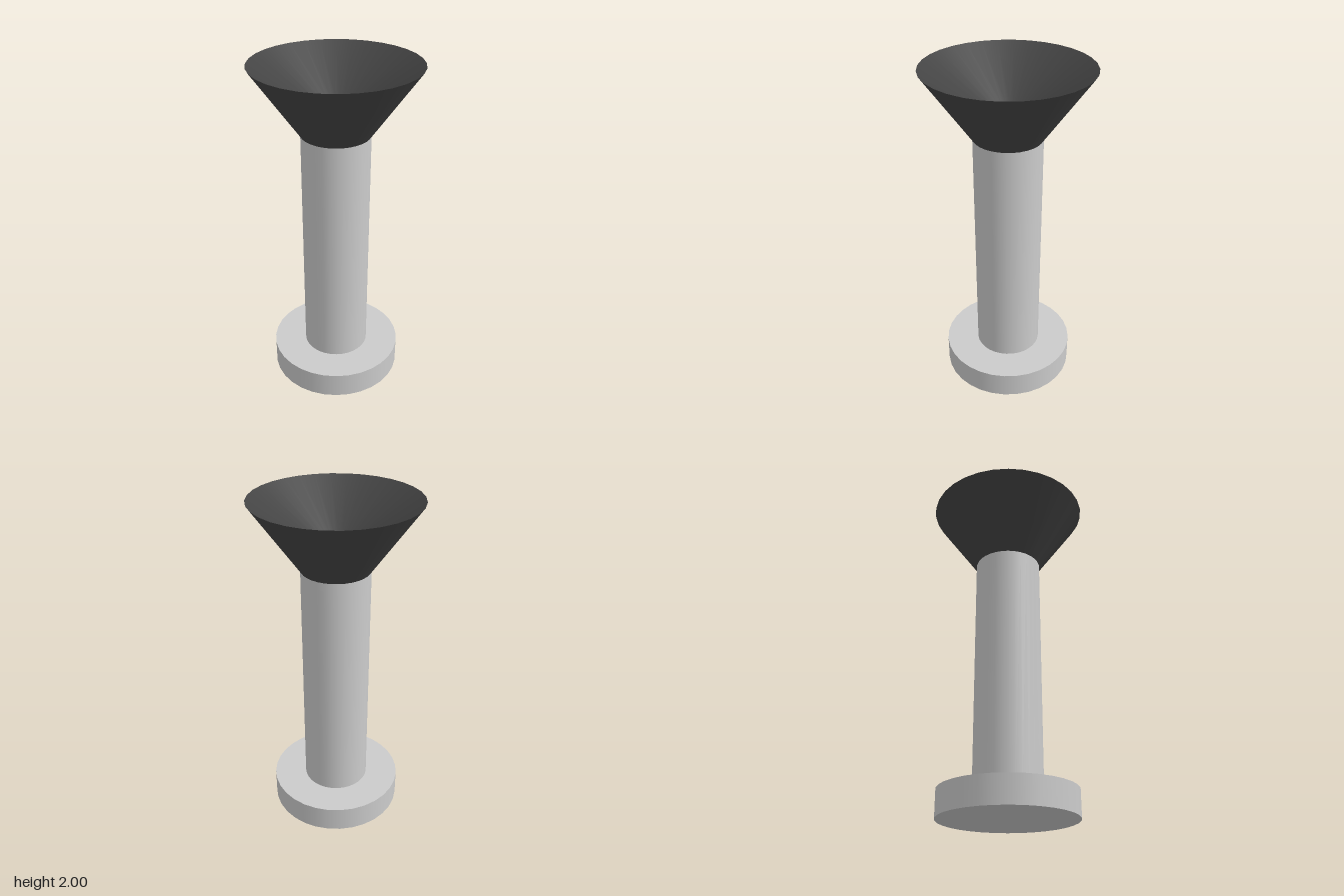
import * as THREE from 'three';

const SEGMENTS = 32;

export function createModel() {
  const model = new THREE.Group();
  const grey = new THREE.MeshStandardMaterial({ color: 0xcccccc });
  const dark = new THREE.MeshStandardMaterial({ color: 0x444444, side: THREE.DoubleSide });

  const add = (name, geometry, material, y = 0) => {
    const mesh = new THREE.Mesh(geometry, material);
    mesh.name = name;
    mesh.position.y = y;
    model.add(mesh);
  };

  // Round foot and column
  add('base', new THREE.CylinderGeometry(0.4, 0.4, 0.16, SEGMENTS), grey, 0.08);
  add('column', new THREE.CylinderGeometry(0.2, 0.2, 1.44, SEGMENTS), grey, 0.88);

  // Flared bowl: outer wall, shallower inner wall and flat floor
  add('bowlOuter', new THREE.CylinderGeometry(0.48, 0.2, 0.4, SEGMENTS, 1, true), dark, 1.8);
  add('bowlInner', new THREE.CylinderGeometry(0.48, 0.124, 0.24, SEGMENTS, 1, true), dark, 1.88);
  const floor = new THREE.CircleGeometry(0.124, SEGMENTS).rotateX(-Math.PI / 2);
  add('bowlFloor', floor, dark, 1.76);

  return model;
}
